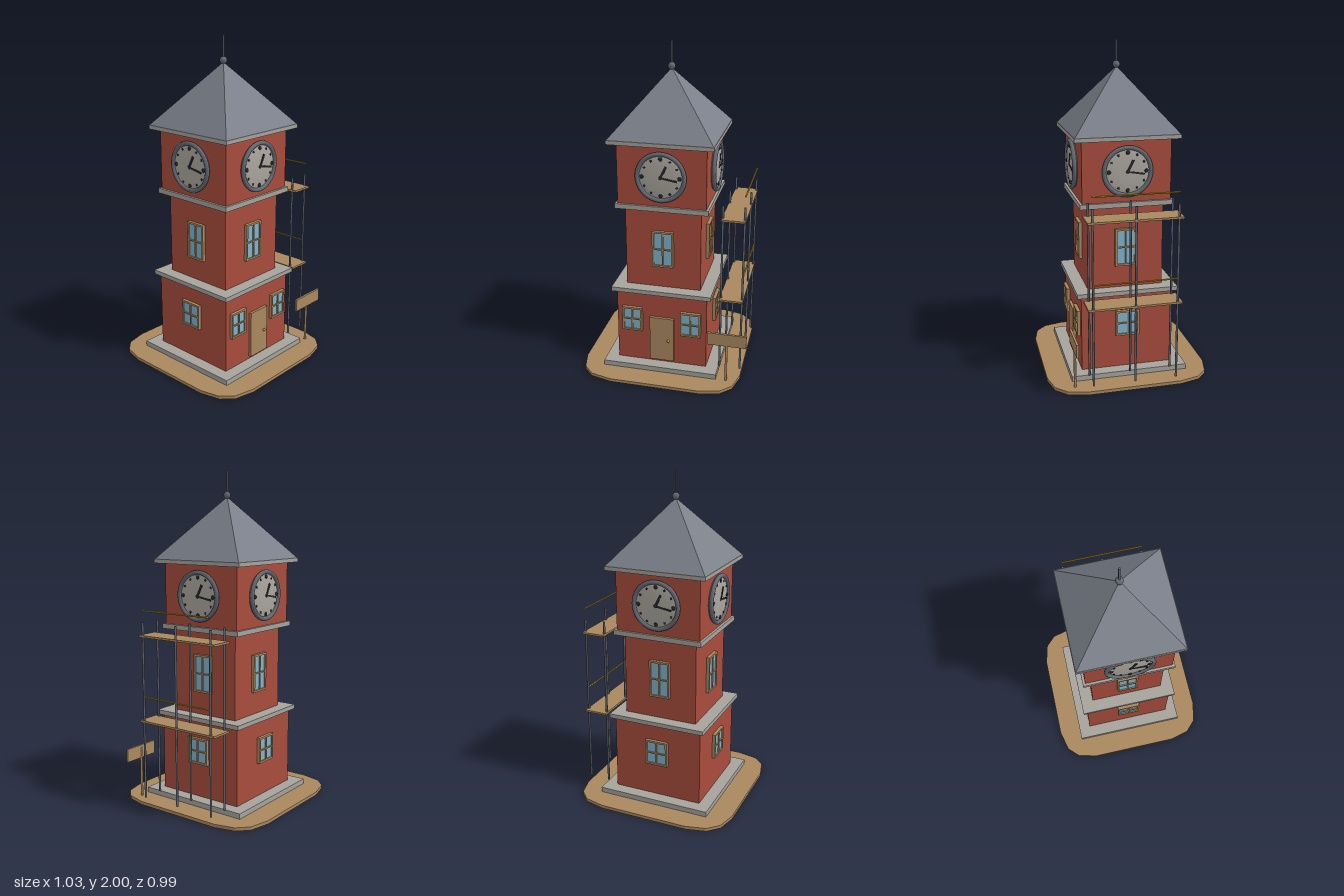
import * as THREE from 'three';

const mat = (name, color, extra = {}) => {
  const m = new THREE.MeshStandardMaterial({ color, ...extra });
  m.name = name;
  return m;
};

export function createModel() {
  const brick = mat('brick', 0xa84c3c);
  const stone = mat('stone', 0xa5a39c);
  const slate = mat('roof slate', 0x7c818b, { flatShading: true });
  const timber = mat('timber', 0xaa885e);
  const glass = mat('window glass', 0x82b4cc);
  const steel = mat('steel', 0x636972);
  const black = mat('clock black', 0x25272b);
  const yellow = mat('safety yellow', 0xc29a1c);
  const dial = mat('dial', 0xaba79e);

  const model = new THREE.Group();
  model.name = 'clockTower';
  const tower = new THREE.Group();
  tower.name = 'tower';
  tower.position.x = -0.02;
  model.add(tower);

  const add = (parent, name, geo, material, x = 0, y = 0, z = 0) => {
    const mesh = new THREE.Mesh(geo, material);
    mesh.name = name;
    mesh.position.set(x, y, z);
    parent.add(mesh);
    return mesh;
  };
  const box = (parent, name, w, h, d, material, x, y, z) =>
    add(parent, name, new THREE.BoxGeometry(w, h, d), material, x, y, z);

  // Ground slab with chamfered corners, one corner mirrored round
  const corner = [[0.495, 0.28], [0.465, 0.4], [0.4, 0.465], [0.275, 0.495]];
  const flip = corner.slice().reverse();
  const outline = [
    ...corner,
    ...flip.map(([x, y]) => [-x, y]),
    ...corner.map(([x, y]) => [-x, -y]),
    ...flip.map(([x, y]) => [x, -y]),
  ].map(([x, y]) => new THREE.Vector2(x, y));
  const slab = new THREE.ExtrudeGeometry(new THREE.Shape(outline), { depth: 0.02, bevelEnabled: false });
  slab.rotateX(-Math.PI / 2);
  add(tower, 'ground', slab, timber);

  // Square storeys and ledges: name, width, bottom, top, material
  [
    ['plinth', 0.71, 0.02, 0.052, stone],
    ['lowerStorey', 0.56, 0.052, 0.525, brick],
    ['lowerLedge', 0.615, 0.525, 0.552, stone],
    ['middleStorey', 0.46, 0.552, 1.06, brick],
    ['upperLedge', 0.56, 1.06, 1.09, stone],
    ['clockStorey', 0.53, 1.09, 1.456, brick],
    ['eaves', 0.625, 1.456, 1.48, stone],
  ].forEach(([name, w, y0, y1, m]) => box(tower, name, w, y1 - y0, w, m, 0, (y0 + y1) / 2, 0));

  // Pyramid roof and finial
  const roof = new THREE.ConeGeometry(0.31 * Math.SQRT2, 0.367, 4);
  roof.rotateY(Math.PI / 4);
  add(tower, 'roof', roof, slate, 0, 1.6635, 0);
  add(tower, 'finialBall', new THREE.SphereGeometry(0.022, 16, 12), steel, 0, 1.857, 0);
  add(tower, 'finialRod', new THREE.CylinderGeometry(0.006, 0.006, 0.14, 8), steel, 0, 1.93, 0);

  // Four-pane window standing on the wall plane z
  function addWindow(parent, x, y, z, w, h) {
    const win = new THREE.Group();
    win.name = 'window';
    win.position.set(x, y, z);
    parent.add(win);
    const b = 0.012;
    box(win, 'glass', w - b, h - b, 0.008, glass, 0, 0, 0.008);
    for (const s of [-1, 1]) {
      box(win, 'frameSide', b, h, 0.02, timber, s * (w - b) / 2, 0, 0.01);
      box(win, 'frameRail', w - 2 * b, b, 0.02, timber, 0, s * (h - b) / 2, 0.01);
    }
    box(win, 'mullion', 0.008, h - 2 * b, 0.008, timber, 0, 0, 0.016);
    box(win, 'transom', w - 2 * b, 0.008, 0.008, timber, 0, 0, 0.016);
  }

  // Clock: rim, domed dial, hour dots and hands
  function addClock(parent, y, z) {
    const clock = new THREE.Group();
    clock.name = 'clock';
    clock.position.set(0, y, z);
    parent.add(clock);
    const back = new THREE.CylinderGeometry(0.142, 0.142, 0.014, 40);
    back.rotateX(Math.PI / 2);
    add(clock, 'clockBack', back, steel, 0, 0, 0.006);
    add(clock, 'clockRim', new THREE.TorusGeometry(0.139, 0.013, 10, 40), steel, 0, 0, 0.018);
    const dome = new THREE.SphereGeometry(0.134, 40, 8, 0, Math.PI * 2, 0, Math.PI / 2);
    dome.rotateX(Math.PI / 2);
    dome.scale(1, 1, 0.09);
    add(clock, 'dial', dome, dial, 0, 0, 0.013);
    for (let i = 0; i < 12; i++) {
      const a = i * Math.PI / 6;
      const r = i % 3 ? 0.007 : 0.012;
      const dot = add(clock, 'hourDot', new THREE.SphereGeometry(r, 10, 8), black,
        Math.sin(a) * 0.111, Math.cos(a) * 0.111, 0.021);
      dot.scale.z = 0.5;
    }
    [['hourHand', 0.075, 0.014, 26], ['minuteHand', 0.1, 0.01, 100]].forEach(([name, len, w, deg]) => {
      const hand = new THREE.Group();
      hand.name = name;
      hand.rotation.z = -deg * Math.PI / 180;
      clock.add(hand);
      box(hand, 'handBar', w, len, 0.006, black, 0, len / 2, 0.025);
    });
    add(clock, 'hub', new THREE.SphereGeometry(0.012, 12, 8), black, 0, 0, 0.022).scale.z = 0.7;
  }

  // Four elevations; the front one has two windows and the door
  for (let k = 0; k < 4; k++) {
    const side = new THREE.Group();
    side.name = ['frontFace', 'leftFace', 'backFace', 'rightFace'][k];
    side.rotation.y = k * Math.PI / 2;
    tower.add(side);
    addClock(side, 1.273, 0.265);
    addWindow(side, 0, 0.805, 0.23, 0.13, 0.23);
    if (k > 0) addWindow(side, 0, 0.34, 0.28, 0.145, 0.16);
    else for (const s of [-1, 1]) addWindow(side, s * 0.183, 0.34, 0.28, 0.126, 0.16);
  }
  box(tower, 'door', 0.15, 0.295, 0.02, timber, 0.003, 0.2175, 0.287);
  add(tower, 'doorKnob', new THREE.SphereGeometry(0.009, 12, 8), yellow, 0.046, 0.213, 0.302);

  // Scaffold on the left side
  const scaffold = new THREE.Group();
  scaffold.name = 'scaffold';
  model.add(scaffold);
  for (const x of [0.34, 0.467])
    for (const z of [-0.25, 0, 0.25])
      add(scaffold, 'pole', new THREE.CylinderGeometry(0.007, 0.007, 1.07, 6), steel, x, 0.587, z);
  for (const y of [0.525, 1.04]) {
    box(scaffold, 'platform', 0.142, 0.012, 0.56, timber, 0.404, y, 0);
    const rail = new THREE.CylinderGeometry(0.005, 0.005, 0.505, 6);
    rail.rotateX(Math.PI / 2);
    add(scaffold, 'guardRail', rail, yellow, 0.467, y + 0.15, 0);
  }

  // Blank signboard on a post
  const sign = new THREE.Group();
  sign.name = 'signboard';
  model.add(sign);
  box(sign, 'signPanel', 0.236, 0.08, 0.014, timber, 0.398, 0.305, 0.352);
  add(sign, 'signPost', new THREE.CylinderGeometry(0.008, 0.008, 0.31, 6), timber, 0.397, 0.175, 0.348);

  return model;
}
